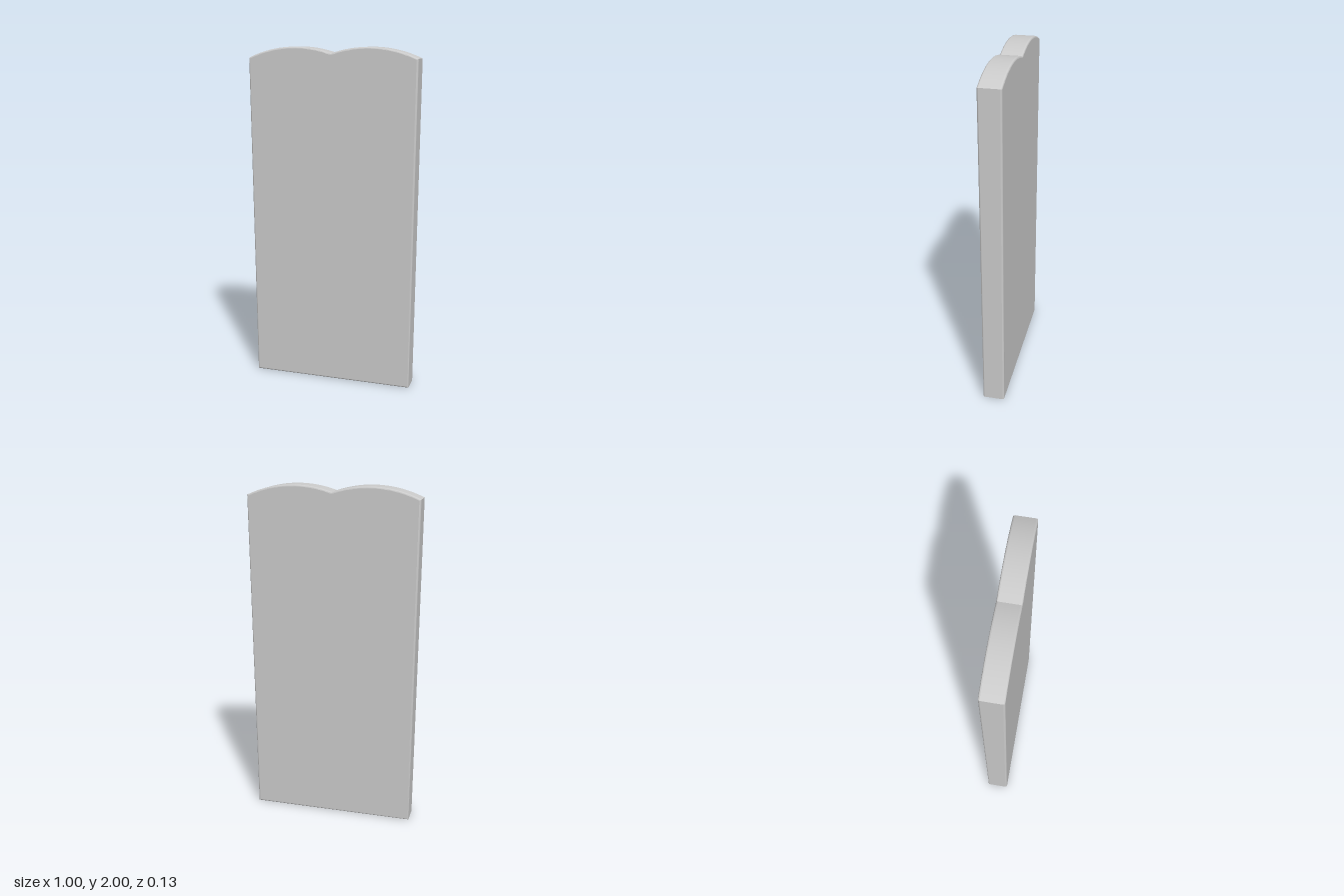
import * as THREE from 'three';
import { toCreasedNormals } from 'three/addons/utils/BufferGeometryUtils.js';

const HALF_DEPTH = 0.065, BEVEL = 0.01;

// Slightly tapered outline with a twin-arched top
function slabShape() {
  const cx = 0.2165, r = 0.67, cy = 2 - r, n = 24;
  const top = (x) => cy + Math.sqrt(r * r - (Math.abs(x) - cx) ** 2);
  const shape = new THREE.Shape();
  shape.moveTo(-0.485, 0);
  shape.lineTo(0.485, 0);
  for (let i = 0; i <= 2 * n; i++) {
    const x = 0.5 - i / (2 * n);
    shape.lineTo(x, top(x));
  }
  shape.closePath();
  return shape;
}

// Keep the broad faces and the walls flat, with shading rounded only along the bevel
function flattenBroadFaces(geometry) {
  const p = geometry.attributes.position, nrm = geometry.attributes.normal;
  const v = new THREE.Vector3();
  for (let i = 0; i < p.count; i += 3) {
    const z = [0, 1, 2].map((k) => p.getZ(i + k));
    const low = Math.min(...z), high = Math.max(...z);
    for (let k = i; k < i + 3; k++) {
      if (high - low < 1e-5) {
        nrm.setXYZ(k, 0, 0, Math.sign(z[0]));
      } else if (high - low > HALF_DEPTH) {
        v.fromBufferAttribute(nrm, k).setZ(0).normalize();
        nrm.setXYZ(k, v.x, v.y, v.z);
      }
    }
  }
  return geometry;
}

export function createModel() {
  const group = new THREE.Group();
  group.name = 'archedSlab';

  const geometry = new THREE.ExtrudeGeometry(slabShape(), {
    depth: 2 * (HALF_DEPTH - BEVEL),
    bevelEnabled: true,
    bevelThickness: BEVEL,
    bevelSize: BEVEL,
    bevelOffset: -BEVEL,
    bevelSegments: 3,
  });
  geometry.translate(0, 0, BEVEL - HALF_DEPTH);

  const slab = new THREE.Mesh(
    flattenBroadFaces(toCreasedNormals(geometry, 0.56)),
    new THREE.MeshStandardMaterial({ color: 0xcccccc })
  );
  slab.name = 'slab';
  group.add(slab);
  return group;
}
